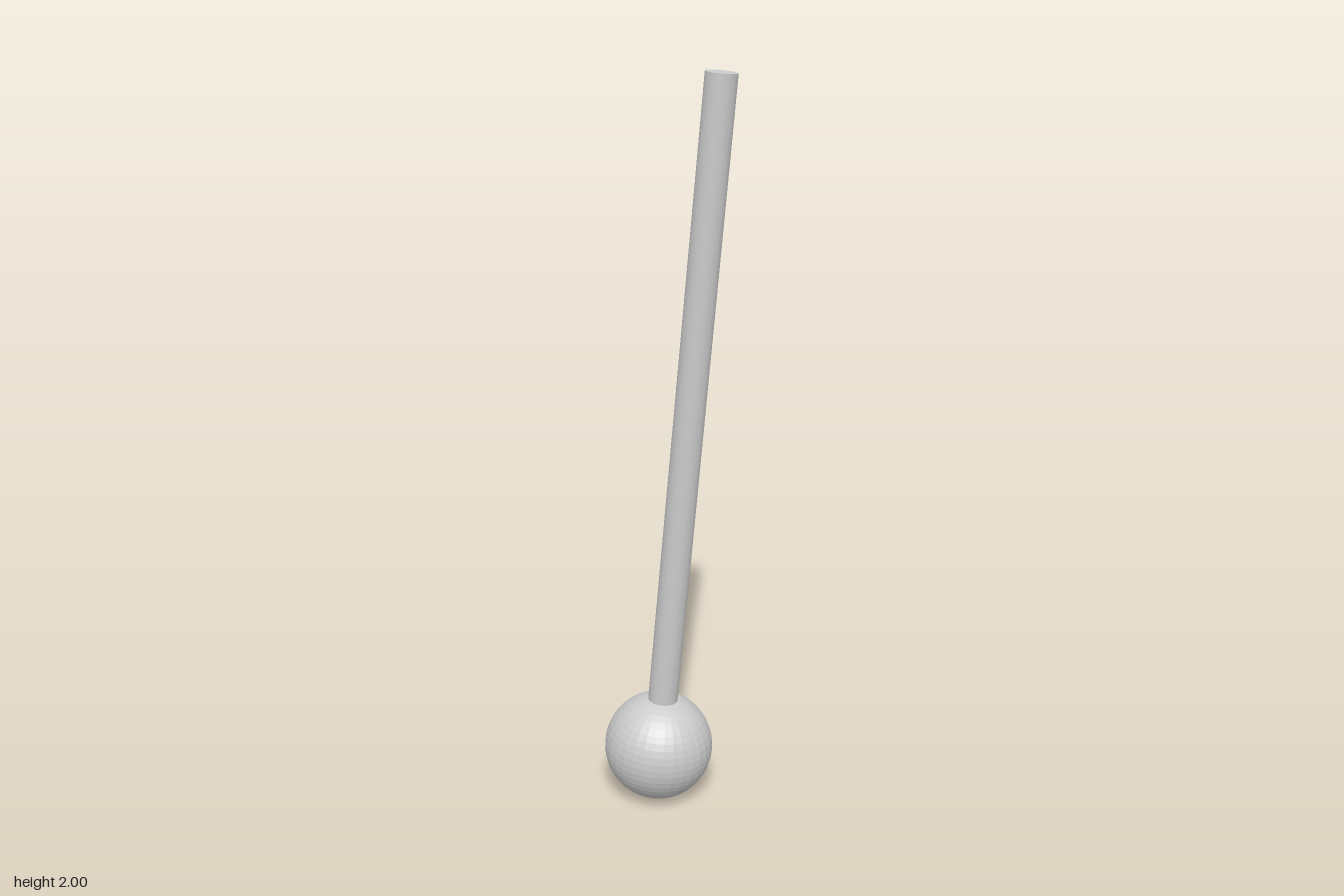
import * as THREE from 'three';

export function createModel() {
  const model = new THREE.Group();
  const material = new THREE.MeshStandardMaterial({ color: 0xcccccc, flatShading: true });
  const ballRadius = 0.151, rodRadius = 0.041, rodStart = 0.1, rodEnd = 1.853;

  // Ball and rod share one axis, leaning towards +x about the ball's centre
  const mallet = new THREE.Group();
  mallet.name = 'mallet';
  mallet.position.set(-0.027, ballRadius, 0);
  mallet.rotation.z = -THREE.MathUtils.degToRad(5.05);
  model.add(mallet);

  // Round head
  const ball = new THREE.Mesh(new THREE.SphereGeometry(ballRadius, 32, 24), material);
  ball.name = 'ball';
  mallet.add(ball);

  // Straight handle, its lower end sunk into the ball
  const rod = new THREE.Mesh(
    new THREE.CylinderGeometry(rodRadius, rodRadius, rodEnd - rodStart, 32), material);
  rod.name = 'rod';
  rod.position.y = (rodStart + rodEnd) / 2;
  mallet.add(rod);

  return model;
}
